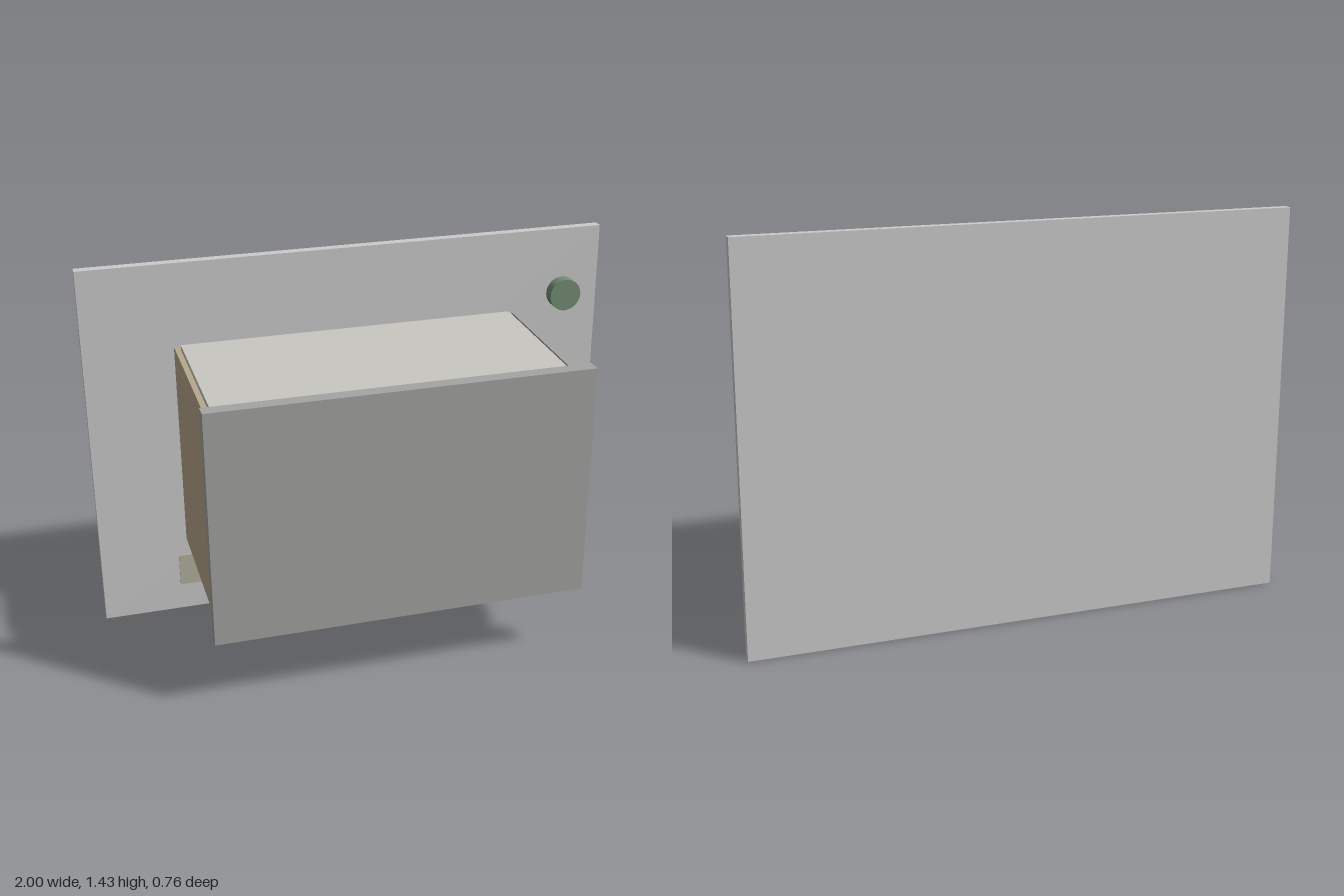
import * as THREE from 'three';

export function createModel() {
  const group = new THREE.Group();
  const mat = (color) => new THREE.MeshStandardMaterial({ color });
  const grey = mat(0xcccccc), dark = mat(0xa4a4a2), ivory = mat(0xc8c7c0);
  const tan = mat(0xb8a88c), strip = mat(0xb4b0a0), blue = mat(0x8c9ca8), green = mat(0x748c74);

  // Box given by its extents along each axis
  function box(name, material, [x0, x1], [y0, y1], [z0, z1]) {
    const mesh = new THREE.Mesh(new THREE.BoxGeometry(x1 - x0, y1 - y0, z1 - z0), material);
    mesh.position.set((x0 + x1) / 2, (y0 + y1) / 2, (z0 + z1) / 2);
    mesh.name = name;
    group.add(mesh);
  }

  // Wall plate, main housing and front door
  box('backPlate', grey, [-1, 1], [0, 1.43], [-0.38, -0.345]);
  box('body', ivory, [-0.64, 0.64], [0.317, 1.115], [-0.345, 0.33]);
  box('frontDoor', dark, [-0.688, 0.688], [0.277, 1.16], [0.33, 0.38]);

  // Side panels, standing just clear of the housing
  box('leftSidePanel', dark, [0.647, 0.667], [0.317, 1.115], [-0.333, 0.24]);
  box('rightSidePanel', tan, [-0.667, -0.647], [0.317, 1.115], [-0.333, 0.24]);

  // Layers under the housing
  box('bottomPlate', tan, [-0.61, 0.61], [0.3, 0.317], [-0.345, 0.255]);
  box('bottomTray', blue, [-0.35, 0.35], [0.277, 0.3], [-0.287, 0.2]);

  // Thin strip on the wall plate
  box('lowerStrip', strip, [-0.7, 0.7], [0.11, 0.24], [-0.345, -0.338]);

  // Round knob
  const knob = new THREE.Mesh(new THREE.CylinderGeometry(0.062, 0.062, 0.045, 32), green);
  knob.rotation.x = Math.PI / 2;
  knob.position.set(0.855, 1.175, -0.3225);
  knob.name = 'knob';
  group.add(knob);

  return group;
}
